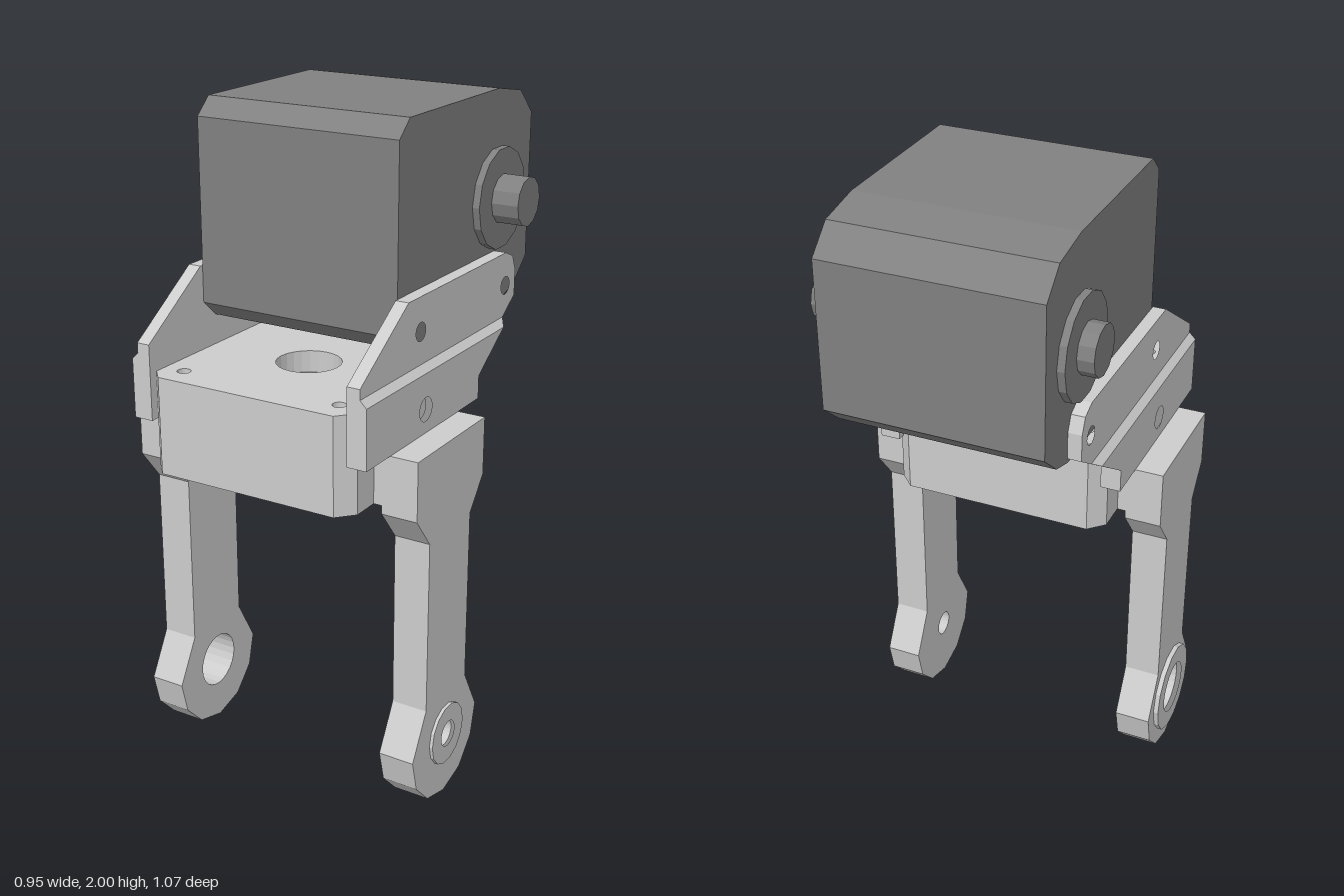
import * as THREE from 'three';

const grey = new THREE.MeshStandardMaterial({ color: 0xcccccc, flatShading: true });
const dark = new THREE.MeshStandardMaterial({ color: 0x808080, flatShading: true });

// Shape from [u, v] points, with holes given as [u, v, radius]
function outline(points, holes = []) {
  const shape = new THREE.Shape(points.map(([u, v]) => new THREE.Vector2(u, v)));
  for (const [u, v, r] of holes) {
    shape.holes.push(new THREE.Path().absarc(u, v, r, 0, Math.PI * 2, true));
  }
  return shape;
}

const circle = (z, y, r, n) => Array.from({ length: n }, (_, i) => {
  const a = (i / n) * Math.PI * 2;
  return [z + r * Math.cos(a), y + r * Math.sin(a)];
});

function mesh(name, geometry, material) {
  const m = new THREE.Mesh(geometry, material);
  m.name = name;
  return m;
}

const extrude = (shape, depth) =>
  new THREE.ExtrudeGeometry(shape, { depth, bevelEnabled: false, curveSegments: 12 });

// Side profile of [z, y] points, filling x0..x1 (mirrored when s is -1)
function sideSlab(points, holes, s, x0, x1) {
  const g = extrude(outline(points.map(([z, y]) => [-z, y]), holes.map(([z, y, r]) => [-z, y, r])), x1 - x0);
  return g.rotateY(Math.PI / 2).translate(s > 0 ? x0 : -x1, 0, 0);
}

// Plan outline of [x, z] points, filling y0..y1
function planSlab(points, holes, y0, y1, squareHole) {
  const shape = outline(points.map(([x, z]) => [x, -z]), holes.map(([x, z, r]) => [x, -z, r]));
  if (squareHole) {
    const [x, z, h] = squareHole;
    shape.holes.push(new THREE.Path([[-h, -h], [-h, h], [h, h], [h, -h]]
      .map(([a, b]) => new THREE.Vector2(x + a, -z + b))));
  }
  return extrude(shape, y1 - y0).rotateX(-Math.PI / 2).translate(0, y0, 0);
}

function createMotor() {
  const motor = new THREE.Group();
  motor.name = 'motor';
  const upper = [[-0.37, 1.365], [-0.45, 1.39], [-0.53, 1.46], [-0.53, 1.9], [-0.45, 1.975],
    [-0.31, 2], [0.21, 2], [0.265, 1.95], [0.265, 1.415], [0.21, 1.365]];
  // The middle slice carries a small pocket in the underside
  const pocket = [[-0.12, 1.365], [-0.12, 1.45], [-0.26, 1.45], [-0.26, 1.365]];
  motor.add(mesh('motorBodyCentre', sideSlab([...upper, ...pocket], [], 1, -0.08, 0.08), dark));
  for (const s of [1, -1]) {
    motor.add(mesh('motorBodySide', sideSlab(upper, [], s, 0.08, 0.32), dark));
    motor.add(mesh('shaftFlange', sideSlab(circle(-0.31, 1.685, 0.15, 14), [], s, 0.31, 0.342), dark));
    motor.add(mesh('shaft', sideSlab(circle(-0.31, 1.685, 0.073, 12), [], s, 0.33, s > 0 ? 0.425 : 0.39), dark));
  }
  return motor;
}

function createBase() {
  const base = new THREE.Group();
  base.name = 'baseBlock';
  const plan = [[0.285, 0.535], [0.33, 0.485], [0.33, -0.08], [0.285, -0.125],
    [-0.285, -0.125], [-0.33, -0.08], [-0.33, 0.485], [-0.285, 0.535]];
  const screws = [];
  for (const x of [0.255, -0.255]) for (const z of [0.455, -0.048]) screws.push([x, z, 0.02]);
  // Square recess below, narrow bore, round recess above
  base.add(mesh('baseLower', planSlab(plan, screws, 0.985, 1.065, [0, 0.205, 0.12]), grey));
  base.add(mesh('baseMiddle', planSlab(plan, [...screws, [0, 0.205, 0.035]], 1.065, 1.21), grey));
  base.add(mesh('baseUpper', planSlab(plan, [...screws, [0, 0.205, 0.095]], 1.21, 1.275), grey));
  return base;
}

function createBracket(s) {
  const bracket = new THREE.Group();
  bracket.name = s > 0 ? 'leftBracket' : 'rightBracket';
  const plate = [[0.525, 1.135], [0.525, 1.36], [0.275, 1.525], [-0.31, 1.525], [-0.355, 1.505],
    [-0.375, 1.46], [-0.375, 1.38], [-0.115, 1.205], [-0.115, 1.135]];
  const pivot = [0.205, 1.205, 0.035];
  bracket.add(mesh('bracketPlate',
    sideSlab(plate, [[0.205, 1.425, 0.027], [-0.31, 1.425, 0.027], pivot], s, 0.32, 0.36), grey));

  // Thicker lower band, its outer top edge lowered to a chamfer
  const band = sideSlab([[0.525, 1.135], [0.525, 1.33], [-0.3, 1.33], [-0.115, 1.205], [-0.115, 1.135]],
    [pivot], s, 0.36, 0.38);
  const p = band.attributes.position;
  for (let i = 0; i < p.count; i++) {
    if (p.getY(i) > 1.32 && Math.abs(p.getX(i)) > 0.375) {
      p.setY(i, 1.31);
      if (p.getZ(i) < 0) p.setZ(i, -0.27);
    }
  }
  band.computeVertexNormals();
  bracket.add(mesh('bracketBand', band, grey));
  return bracket;
}

function createLeg(s) {
  const leg = new THREE.Group();
  leg.name = s > 0 ? 'leftLeg' : 'rightLeg';
  const half = [[0.195, 1.135], [0.195, 0.96], [0.12, 0.865], [0.12, 0.335],
    [0.195, 0.2], [0.17, 0.1], [0.1, 0.027]];
  const zc = 0.205;
  const profile = [...half.map(([d, y]) => [zc + d, y]), [zc, 0],
    ...half.map(([d, y]) => [zc - d, y]).reverse()];
  const [bossR, holeR, bossX] = s > 0 ? [0.095, 0.04, 0.475] : [0.145, 0.085, 0.48];
  const hole = [[zc, 0.2, holeR]];
  leg.add(mesh('legBar', sideSlab(profile, hole, s, 0.355, 0.465), grey));
  leg.add(mesh('legBoss', sideSlab(circle(zc, 0.2, bossR, 14), hole, s, 0.465, bossX), grey));

  // Short bridge joining the leg top to the base block
  const bridge = new THREE.BoxGeometry(0.04, 0.15, 0.39).translate(s * 0.342, 1.06, zc);
  leg.add(mesh('legBridge', bridge, grey));
  return leg;
}

export function createModel() {
  const model = new THREE.Group();
  model.name = 'motorBracket';
  model.add(createMotor(), createBase());
  for (const s of [1, -1]) model.add(createBracket(s), createLeg(s));
  return model;
}
